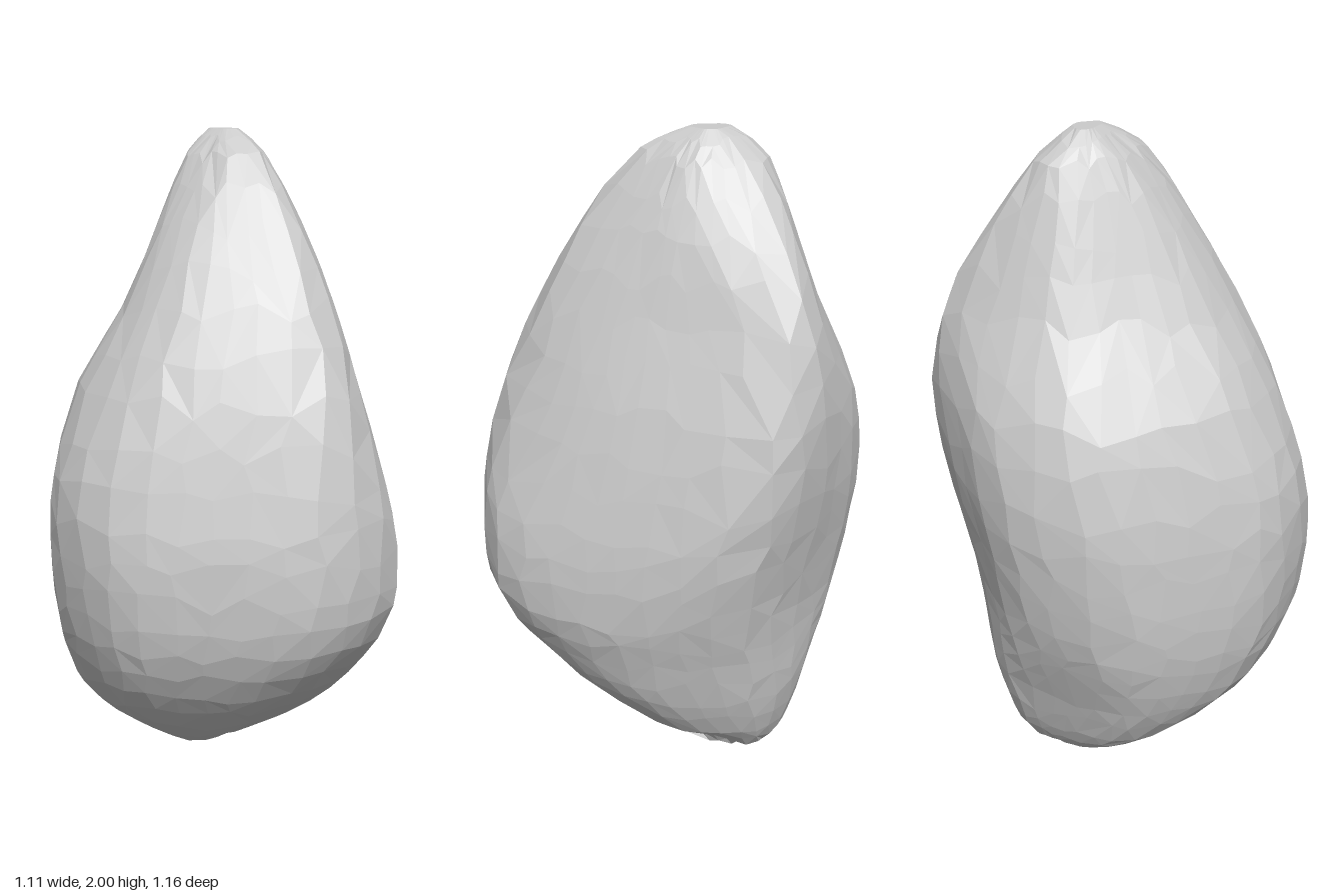
import * as THREE from 'three';

// Directions (degrees from +x towards +z) in which each level's reach is given
const ANGLES = [0, 25, 45, 90, 135, 180, 225, 270, 315];
const NORMALS = ANGLES.map((deg) => {
  const a = THREE.MathUtils.degToRad(deg);
  return [Math.cos(a), Math.sin(a)];
});
// Each level, bottom to top: height, then the reach from the axis in every direction
const LEVELS = [
  [0.0, 0.16, 0.08, -0.02, -0.17, -0.18, -0.08, 0.07, 0.24, 0.26],
  [0.05, 0.27, 0.17, 0.09, -0.07, -0.02, 0.06, 0.23, 0.325, 0.37],
  [0.15, 0.34, 0.28, 0.23, 0.12, 0.18, 0.24, 0.36, 0.38, 0.425],
  [0.3, 0.4, 0.38, 0.365, 0.33, 0.35, 0.42, 0.45, 0.43, 0.465],
  [0.45, 0.44, 0.435, 0.455, 0.48, 0.45, 0.5, 0.5, 0.49, 0.48],
  [0.6, 0.485, 0.475, 0.525, 0.565, 0.495, 0.54, 0.525, 0.535, 0.495],
  [0.8, 0.53, 0.475, 0.53, 0.58, 0.5, 0.56, 0.53, 0.565, 0.535],
  [1.0, 0.555, 0.445, 0.485, 0.56, 0.465, 0.545, 0.515, 0.577, 0.575],
  [1.25, 0.55, 0.39, 0.41, 0.495, 0.4, 0.445, 0.45, 0.535, 0.595],
  [1.5, 0.46, 0.31, 0.33, 0.385, 0.3, 0.305, 0.3, 0.425, 0.555],
  [1.72, 0.335, 0.25, 0.235, 0.265, 0.175, 0.18, 0.21, 0.345, 0.44],
  [1.92, 0.21, 0.16, 0.12, 0.12, 0.05, 0.04, 0.13, 0.27, 0.3],
  [2.0, 0.13, 0.08, 0.03, -0.03, -0.09, -0.06, 0.06, 0.17, 0.18],
];
const SEGMENTS = 32;
const STEPS = 2;
const SHARPNESS = 12;

function seeded(seed) {
  return () => (seed = (seed * 16807) % 2147483647) / 2147483647;
}

// Point of a rounded polygon whose sides lie at the given distances
function roundedPoint(distances, angle) {
  const c = Math.cos(angle), s = Math.sin(angle);
  let sum = 0;
  NORMALS.forEach(([nx, nz], k) => {
    sum += Math.pow(Math.max(0, c * nx + s * nz) / distances[k], SHARPNESS);
  });
  const r = Math.pow(sum, -1 / SHARPNESS);
  return [r * c, r * s];
}

// Turn a level into [height, centre x, centre z, ...side distances] that touch its reach
function fitLevel([y, ...reach]) {
  const cx = (reach[0] - reach[5]) / 2, cz = (reach[3] - reach[7]) / 2;
  const target = reach.map((h, k) => Math.max(h - cx * NORMALS[k][0] - cz * NORMALS[k][1], 0.02));
  const distances = [...target];
  for (let pass = 0; pass < 8; pass++) {
    const actual = target.map(() => 0);
    for (let i = 0; i < 180; i++) {
      const [x, z] = roundedPoint(distances, (i / 180) * Math.PI * 2);
      NORMALS.forEach(([nx, nz], k) => { actual[k] = Math.max(actual[k], x * nx + z * nz); });
    }
    target.forEach((h, k) => { distances[k] *= h / actual[k]; });
  }
  return [y, cx, cz, ...distances];
}

const FITTED = LEVELS.map(fitLevel);

// Smooth blend between neighbouring levels
function levelAt(t) {
  const i = Math.min(Math.floor(t), FITTED.length - 2);
  const f = t - i;
  const row = (k) => FITTED[THREE.MathUtils.clamp(k, 0, FITTED.length - 1)];
  const [a, b, c, d] = [row(i - 1), row(i), row(i + 1), row(i + 2)];
  return b.map((p, k) => {
    const m0 = (c[k] - a[k]) / 2, m1 = (d[k] - p) / 2, q = c[k];
    return p + f * (m0 + f * (3 * (q - p) - 2 * m0 - m1 + f * (2 * (p - q) + m0 + m1)));
  });
}

// Point on the stone at level t and angle a
function surfacePoint(t, a) {
  const [y, cx, cz, ...distances] = levelAt(t);
  const [x, z] = roundedPoint(distances, a);
  // Shallow hollow beside the back shoulder
  const hollow = 0.04 * Math.exp(-(((a - 5.25) / 0.2) ** 2) - (((y - 1.1) / 0.5) ** 2));
  return [cx + x * (1 - hollow), y, cz + z * (1 - hollow)];
}

function boulderGeometry() {
  const random = seeded(71);
  const count = (LEVELS.length - 1) * STEPS + 1;
  const rings = [];
  for (let i = 0; i < count; i++) {
    const t = i / STEPS;
    const wobble = i > 0 && i < count - 1 ? 0.3 : 0;
    const points = Array.from({ length: SEGMENTS }, (_, j) => surfacePoint(
      t + (random() - 0.5) * wobble,
      ((j + (random() - 0.5) * 0.4) / SEGMENTS) * Math.PI * 2,
    ));
    const [y, cx, cz] = levelAt(t);
    rings.push({ points, centre: [cx, y, cz] });
  }
  const positions = rings.flatMap((ring) => ring.points.flat());
  positions.push(...rings[0].centre, ...rings[count - 1].centre);
  const bottom = count * SEGMENTS, top = bottom + 1;
  const index = [];
  for (let j = 0; j < SEGMENTS; j++) {
    const k = (j + 1) % SEGMENTS;
    for (let i = 0; i < count - 1; i++) {
      const a = i * SEGMENTS + j, b = i * SEGMENTS + k;
      const c = a + SEGMENTS, d = b + SEGMENTS;
      // Take the diagonal that bulges outwards
      const low = rings[i].points, high = rings[i + 1].points;
      const ox = rings[i].centre[0] + rings[i + 1].centre[0];
      const oz = rings[i].centre[2] + rings[i + 1].centre[2];
      const bulge = (p, q) => Math.hypot(p[0] + q[0] - ox, p[2] + q[2] - oz);
      if (bulge(low[k], high[j]) > bulge(low[j], high[k])) index.push(a, c, b, b, c, d);
      else index.push(a, c, d, a, d, b);
    }
    const last = (count - 1) * SEGMENTS;
    index.push(bottom, j, k, top, last + k, last + j);
  }
  const geometry = new THREE.BufferGeometry();
  geometry.setAttribute('position', new THREE.Float32BufferAttribute(positions, 3));
  geometry.setIndex(index);
  geometry.computeVertexNormals();
  return geometry;
}

export function createModel() {
  const group = new THREE.Group();
  group.name = 'rock';
  const boulder = new THREE.Mesh(
    boulderGeometry(),
    new THREE.MeshStandardMaterial({ color: 0xcccccc, flatShading: true }),
  );
  boulder.name = 'boulder';
  group.add(boulder);
  return group;
}
